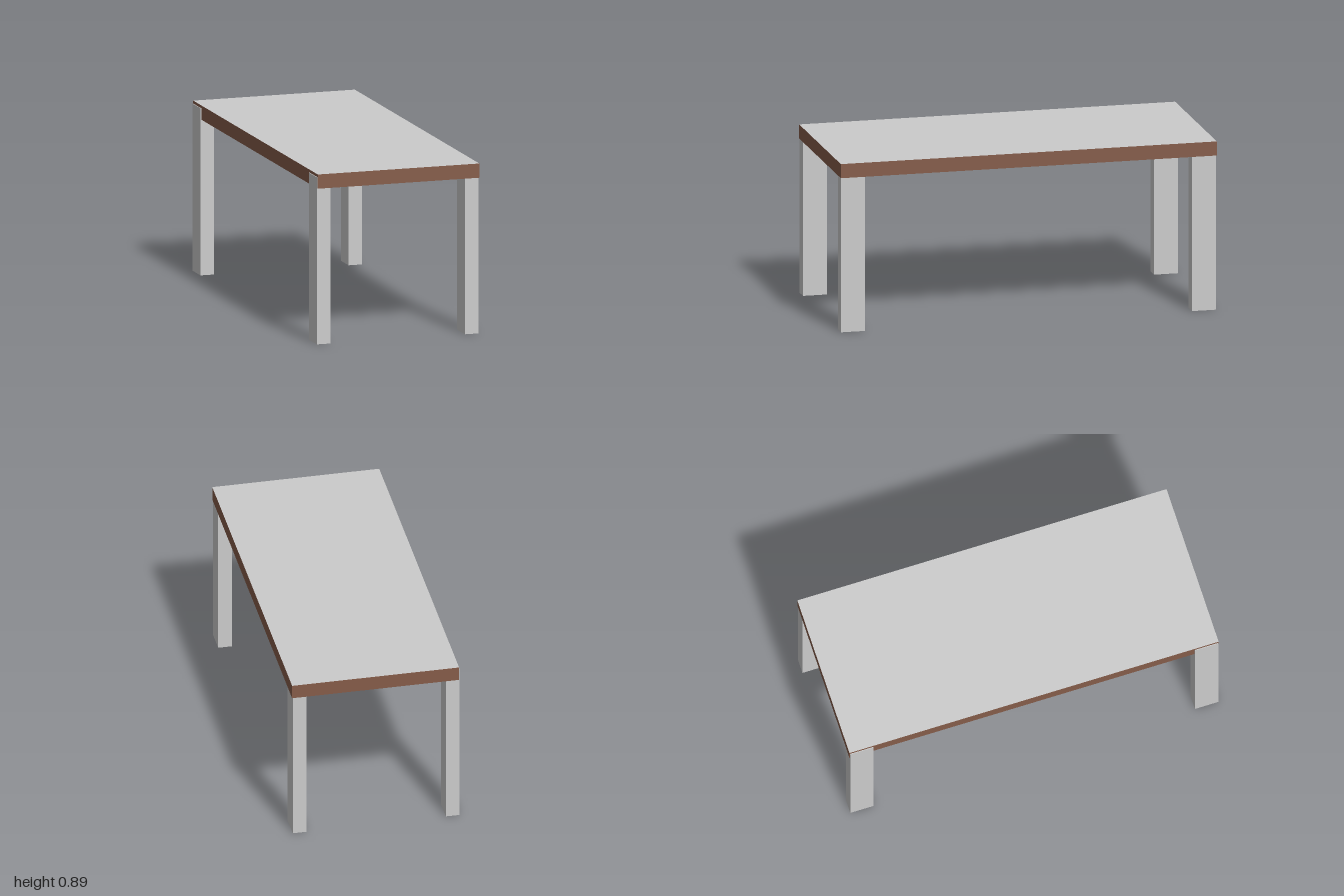
import * as THREE from 'three';

export function createModel() {
  const table = new THREE.Group();
  table.name = 'table';
  const grey = new THREE.MeshStandardMaterial({ color: 0xcccccc });
  const brown = new THREE.MeshStandardMaterial({ color: 0x855c49 });

  // Box given by its lower and upper corners
  function box(name, [x0, y0, z0], [x1, y1, z1], material) {
    const mesh = new THREE.Mesh(new THREE.BoxGeometry(x1 - x0, y1 - y0, z1 - z0), material);
    mesh.position.set((x0 + x1) / 2, (y0 + y1) / 2, (z0 + z1) / 2);
    mesh.name = name;
    table.add(mesh);
  }

  // Slab: brown edges and underside, grey upper face
  box('tabletop', [-0.438, 0.82, -1], [0.442, 0.895, 1],
    [brown, brown, grey, brown, brown, brown]);

  // Legs reach up into the slab; the right pair stands slightly proud of its edge
  for (const [side, x0, x1] of [['Right', -0.442, -0.369], ['Left', 0.365, 0.438]]) {
    box(`front${side}Leg`, [x0, 0, 0.87], [x1, 0.88, 0.997], grey);
    box(`back${side}Leg`, [x0, 0, -0.997], [x1, 0.88, -0.87], grey);
  }
  return table;
}
